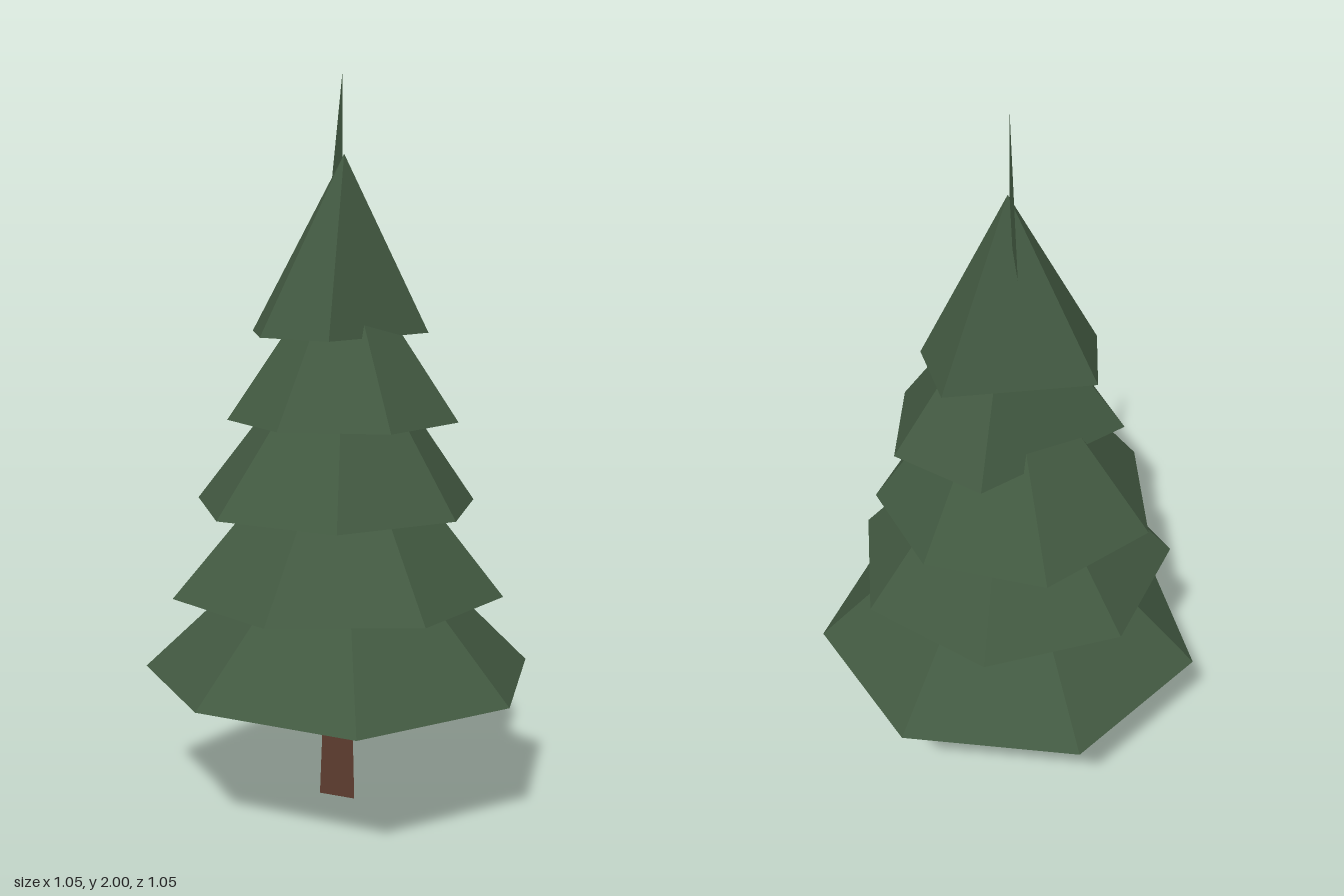
import * as THREE from 'three';

const needles = new THREE.MeshStandardMaterial({ color: 0x425941, flatShading: true });
const needlesThin = needles.clone();
needlesThin.side = THREE.DoubleSide;
needles.name = 'needleGreen';
needlesThin.name = 'needleGreen';
const bark = new THREE.MeshStandardMaterial({ color: 0x5c3c2f, flatShading: true });
bark.name = 'barkBrown';

// Each tier: rim height, apex height, rise of the hollow underside, rim corners as [x, z]
const TIERS = [
  { y: 0.345, top: 0.89, hollow: 0.15, rim: [[-0.135, -0.527], [0.332, -0.411], [0.524, 0.023], [0.344, 0.468], [-0.127, 0.521], [-0.521, 0.265], [-0.527, -0.228]] },
  { y: 0.59, top: 1.14, hollow: 0.13, rim: [[-0.276, -0.346], [0.11, -0.408], [0.4, -0.155], [0.403, 0.245], [0.07, 0.482], [-0.324, 0.375], [-0.462, 0]] },
  { y: 0.83, top: 1.37, hollow: 0.12, rim: [[-0.358, -0.19], [-0.059, -0.355], [0.248, -0.248], [0.375, 0.056], [0.22, 0.375], [-0.141, 0.408], [-0.403, 0.166]] },
  { y: 1.07, top: 1.54, hollow: 0.1, rim: [[-0.166, -0.242], [0.11, -0.293], [0.301, -0.076], [0.276, 0.214], [0.011, 0.346], [-0.242, 0.234]] },
  { y: 1.3, top: 1.78, hollow: 0.1, rim: [[-0.02, -0.237], [0.169, -0.132], [0.104, 0.245], [-0.115, 0.251], [-0.268, 0.085]] },
];

function facets(points) {
  const geo = new THREE.BufferGeometry();
  geo.setAttribute('position', new THREE.Float32BufferAttribute(points.flat(), 3));
  geo.computeVertexNormals();
  return geo;
}

// Irregular cone with a hollowed underside
function tierGeometry({ y, top, hollow, rim }) {
  const apex = [-0.006, top, 0.018];
  const under = [-0.006, y + hollow, 0.018];
  const pts = [];
  rim.forEach(([x, z], i) => {
    const [nx, nz] = rim[(i + 1) % rim.length];
    const a = [x, y, z], b = [nx, y, nz];
    pts.push(apex, b, a, under, a, b);
  });
  return facets(pts);
}

export function createModel() {
  const tree = new THREE.Group();
  tree.name = 'pineTree';
  const add = (name, geo, mat) => {
    const mesh = new THREE.Mesh(geo, mat);
    mesh.name = name;
    tree.add(mesh);
    return mesh;
  };

  // Three-sided tapering trunk
  const trunkGeo = new THREE.CylinderGeometry(0.038, 0.062, 0.6, 3, 1, false, THREE.MathUtils.degToRad(69));
  add('trunk', trunkGeo, bark).position.set(-0.016, 0.3, 0.017);

  // Stacked branch tiers
  TIERS.forEach((tier, i) => add(`branchTier${i + 1}`, tierGeometry(tier), needles));

  // Thin blade at the tip
  add('tipBlade', facets([[-0.008, 2, 0.022], [-0.108, 1.605, -0.05], [-0.008, 1.68, 0.022]]), needlesThin);

  return tree;
}
